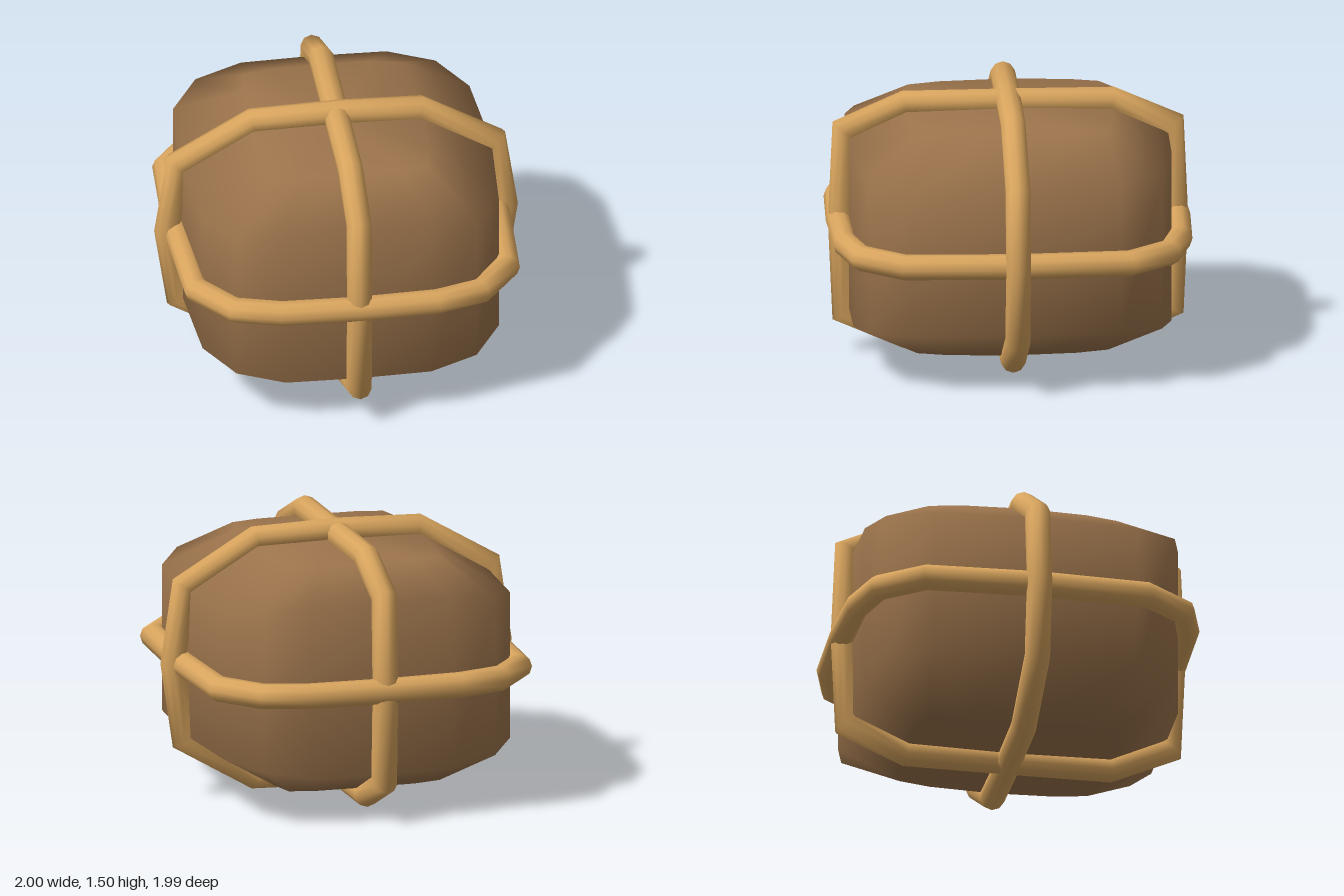
import * as THREE from 'three';

const CENTRE_Y = 0.755;

// Closed loop from a quarter outline running from the first axis to the second
function mirrorLoop(quarter) {
  const n = quarter.length - 1;
  return Array.from({ length: 4 * n }, (_, k) => {
    const j = k % (2 * n);
    const p = quarter[j <= n ? j : 2 * n - j];
    const su = k > n && k < 3 * n ? -1 : 1;
    const sv = k > 2 * n ? -1 : 1;
    return [p[0] * su, p[1] * sv, p[2] ?? 0];
  });
}

function smoothGeometry(positions, index) {
  const g = new THREE.BufferGeometry();
  g.setAttribute('position', new THREE.Float32BufferAttribute(positions, 3));
  g.setIndex(index);
  g.computeVertexNormals();
  return g;
}

// Rounded bale: two rings above and two below, closed by flat fans
function baleGeometry() {
  // quarter outlines as x, z, height from the middle
  const shoulder = mirrorLoop([
    [0.855, 0, 0.41], [0.815, 0.57, 0.41], [0.66, 0.8, 0.44], [0.4, 0.868, 0.48], [0, 0.872, 0.485],
  ]);
  const cap = mirrorLoop([
    [0.47, 0, 0.64], [0.46, 0.35, 0.635], [0.43, 0.52, 0.63], [0.28, 0.555, 0.63], [0, 0.56, 0.63],
  ]);
  const n = cap.length;
  const positions = [];
  const index = [];
  for (const [ring, sign] of [[cap, -1], [shoulder, -1], [shoulder, 1], [cap, 1]]) {
    for (const [x, z, h] of ring) positions.push(x, h * sign, z);
  }
  positions.push(0, -0.645, 0, 0, 0.645, 0);
  for (let i = 0; i < n; i++) {
    const j = (i + 1) % n;
    for (let r = 0; r < 3; r++) {
      const a = r * n + i, b = r * n + j;
      index.push(a, a + n, b, b, a + n, b + n);
    }
    index.push(4 * n, i, j);
    index.push(4 * n + 1, 3 * n + j, 3 * n + i);
  }
  return smoothGeometry(positions, index);
}

// Round rope swept along a flat loop with mitred bends
function ropeGeometry(quarter, place, radius = 0.07, sides = 10) {
  const pts = mirrorLoop(quarter).map(([u, v]) => new THREE.Vector2(u, v));
  const n = pts.length;
  const positions = [];
  const index = [];
  const outward = (a, b) => {
    const t = b.clone().sub(a).normalize();
    return new THREE.Vector2(t.y, -t.x);
  };
  pts.forEach((p, i) => {
    const n1 = outward(pts[(i + n - 1) % n], p);
    const n2 = outward(p, pts[(i + 1) % n]);
    const mitre = n1.clone().add(n2).normalize();
    mitre.divideScalar(mitre.dot(n1));
    for (let s = 0; s < sides; s++) {
      const angle = (s / sides) * Math.PI * 2;
      const c = Math.cos(angle) * radius;
      positions.push(...place(p.x + mitre.x * c, p.y + mitre.y * c, Math.sin(angle) * radius));
      const s2 = (s + 1) % sides, k = ((i + 1) % n) * sides;
      const a = i * sides + s, b = i * sides + s2;
      index.push(a, k + s, b, b, k + s, k + s2);
    }
  });
  return smoothGeometry(positions, index);
}

export function createModel() {
  const cloth = new THREE.MeshStandardMaterial({ color: 0x9c744c });
  cloth.name = 'brown cloth';
  const ropeTan = new THREE.MeshStandardMaterial({ color: 0xd9a55e });
  ropeTan.name = 'tan rope';

  const model = new THREE.Group();
  model.name = 'tiedBale';
  const add = (name, geometry, material) => {
    const mesh = new THREE.Mesh(geometry, material);
    mesh.name = name;
    mesh.position.y = CENTRE_Y;
    model.add(mesh);
  };

  add('bale', baleGeometry(), cloth);

  // Three ropes, one around each axis
  add('crosswiseRope', ropeGeometry(
    [[0.93, 0], [0.866, 0.428], [0.46, 0.667], [0, 0.68]],
    (u, v, w) => [u, v, w]), ropeTan);
  add('lengthwiseRope', ropeGeometry(
    [[0.667, 0], [0.665, 0.565], [0.52, 0.89], [0, 0.913]],
    (u, v, w) => [w, u, v]), ropeTan);
  add('waistRope', ropeGeometry(
    [[0.925, 0], [0.91, 0.425], [0.838, 0.675], [0.612, 0.852], [0, 0.88]],
    (u, v, w) => [v, w, u]), ropeTan);

  return model;
}
